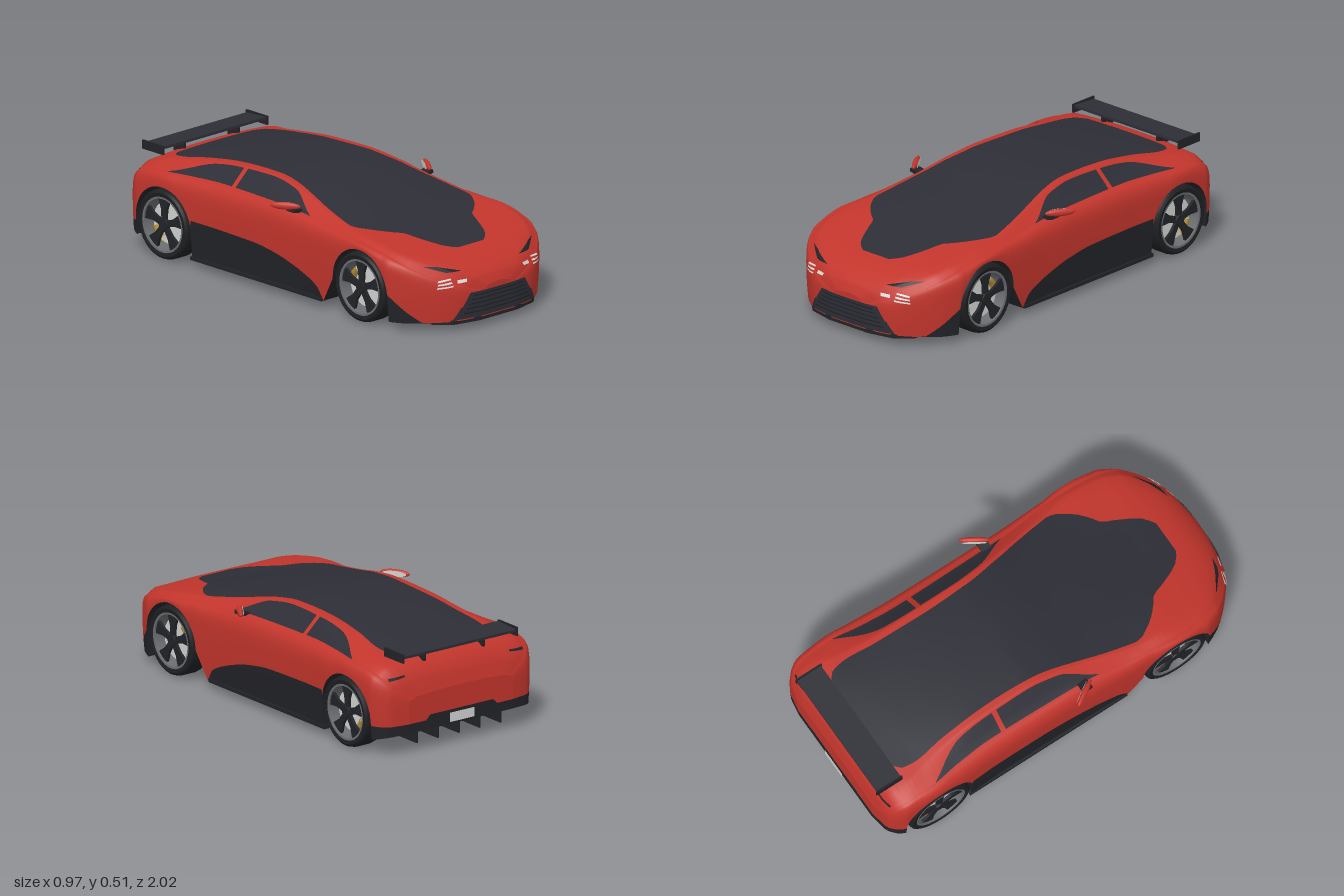
import * as THREE from 'three';
import { toCreasedNormals } from 'three/addons/utils/BufferGeometryUtils.js';

const paint = (name, color) => new THREE.MeshStandardMaterial({ name, color, side: THREE.DoubleSide });
const RED = paint('red paint', 0xc2352c), GLASS = paint('dark glass', 0x2d2e36), TRIM = paint('black trim', 0x222328);
const TYRE = paint('tyre rubber', 0x1e1f22), RIM = paint('rim grey', 0x6a6c70), STEEL = paint('brake steel', 0xd0d2d0);
const GOLD = paint('caliper gold', 0xb08a30), LAMP = paint('lamp white', 0xdedede);

// Smooth curve through [z, value] keys without overshoot
function curve(...k) {
  const d = k.slice(1).map((p, i) => (p[1] - k[i][1]) / (p[0] - k[i][0]));
  const m = k.map((_, i) => {
    if (i === 0 || i === d.length) return d[Math.min(i, d.length - 1)];
    return d[i - 1] * d[i] <= 0 ? 0 : 2 * d[i - 1] * d[i] / (d[i - 1] + d[i]);
  });
  return z => {
    let i = 0;
    while (i < d.length - 1 && z > k[i + 1][0]) i++;
    const h = k[i + 1][0] - k[i][0], t = THREE.MathUtils.clamp((z - k[i][0]) / h, 0, 1), u = 1 - t;
    return k[i][1] * (1 + 2 * t) * u * u + m[i] * h * t * u * u + k[i + 1][1] * t * t * (3 - 2 * t) - m[i + 1] * h * t * t * u;
  };
}

// Feature lines running along the car
const topY = curve([-1, .28], [-.97, .375], [-.93, .42], [-.85, .44], [-.7, .472], [-.5, .498], [-.3, .511], [-.15, .514], [0, .502],
  [.2, .465], [.4, .425], [.5, .4], [.65, .367], [.8, .335], [.9, .303], [.97, .255], [.985, .235], [1, .2]);
const railX = curve([-1, .25], [-.97, .34], [-.93, .36], [-.85, .36], [-.75, .335], [-.6, .31], [-.4, .298], [-.15, .297], [0, .31],
  [.15, .335], [.3, .365], [.42, .385], [.55, .4], [.7, .39], [.8, .36], [.9, .27], [.97, .17], [1, .07]);
const railY = curve([-1, .27], [-.97, .36], [-.93, .405], [-.85, .428], [-.75, .445], [-.6, .472], [-.4, .497], [-.15, .504], [0, .487],
  [.15, .453], [.3, .42], [.42, .399], [.55, .39], [.7, .365], [.8, .34], [.9, .295], [.97, .245], [1, .19]);
const beltX = curve([-1, .28], [-.97, .385], [-.93, .41], [-.85, .42], [-.75, .42], [-.6, .4], [-.4, .385], [0, .39], [.15, .395],
  [.3, .41], [.42, .425], [.55, .43], [.7, .425], [.8, .405], [.9, .33], [.97, .215], [1, .09]);
const beltY = curve([-1, .26], [-.97, .335], [-.93, .375], [-.85, .4], [-.75, .41], [-.6, .415], [-.4, .42], [0, .415], [.15, .405],
  [.3, .388], [.42, .38], [.55, .372], [.7, .347], [.8, .315], [.9, .26], [.97, .215], [1, .17]);
const sideX = curve([-1, .3], [-.985, .385], [-.96, .425], [-.9, .455], [-.75, .462], [-.6, .457], [-.4, .447], [-.1, .445], [.15, .447],
  [.35, .455], [.55, .462], [.72, .462], [.8, .432], [.85, .398], [.92, .325], [.97, .25], [.985, .2], [1, .1]);
const sideY = curve([-1, .23], [-.9, .3], [-.75, .33], [-.4, .32], [.15, .31], [.55, .3], [.72, .28], [.8, .25], [.9, .2], [1, .14]);
const canopyX = curve([-1, .22], [-.86, .24], [-.83, .28], [-.75, .293], [-.6, .275], [-.3, .262], [-.1, .27], [.1, .305], [.3, .35],
  [.38, .365], [.43, .36], [.48, .335], [.53, .298], [.575, .25], [.605, .212], [.66, .19], [.79, .12], [.815, .08], [1, .08]);
const windowTop = curve([-.74, 0], [-.52, .85], [-.2, .92], [0, .88], [.18, 0]);
const floorY = curve([-1, .1], [-.92, .08], [-.75, .04], [.75, .04], [1, .05]);
const skirtY = curve([-.55, .225], [-.15, .215], [0, .195], [.1, .17], [.2, .135], [.27, .1], [.31, .04]);

const WHEELS = [.563, -.73], HUB = .165, ARCH = .18;
function lowerEdge(z) {
  for (const c of WHEELS) if (Math.abs(z - c) <= ARCH + 1e-6) return HUB + Math.sqrt(Math.max(0, ARCH ** 2 - (z - c) ** 2));
  if (z > .31 && z < .383) return .04 + .125 * (z - .31) / .073;
  return floorY(z);
}
function trimEdge(z) {
  const low = lowerEdge(z);
  if (z < -.91) return .145;
  if (z > .743) return Math.max(low, .17 - .12 * (z - .743) / .13);
  return z > -.5505 && z < .31 ? Math.max(low, skirtY(z)) : low;
}

// Half section from the sill up to the centre line, in strips of fixed meaning
const STRIPS = [['skirt', 2], ['door', 5], ['shoulder', 6], ['window', 2], ['pillar', 2], ['roofSide', 3], ['canopy', 6]];
function halfSection(z) {
  const low = lowerEdge(z), trim = trimEdge(z), sx = sideX(z), sy = Math.max(sideY(z), low + .006, trim + .006);
  const bx = beltX(z), by = Math.max(beltY(z), sy + .004), rx = railX(z), ry = railY(z), f = windowTop(z);
  const cx = Math.min(canopyX(z), rx * .95), ty = topY(z), mix = THREE.MathUtils.lerp;
  const side = y => [sx - .014 * ((sy - y) / (sy - .03)) ** 2, y];
  const top = x => [x, ty + (ry - ty) * (x / rx) ** 2.2];
  const at = {
    skirt: t => side(mix(low, trim, t)),
    door: t => side(mix(trim, sy, t)),
    shoulder: t => [mix(bx, sx, Math.max(0, Math.cos(t * Math.PI / 2)) ** .85), mix(sy, by, Math.sin(t * Math.PI / 2) ** .85)],
    window: t => [mix(bx, rx, f * t), mix(by, ry, f * t)],
    pillar: t => [mix(bx, rx, mix(f, 1, t)), mix(by, ry, mix(f, 1, t))],
    roofSide: t => top(mix(rx, cx, t)),
    canopy: t => top(mix(cx, 0, t)),
  };
  const pts = [at.skirt(0)];
  for (const [name, n] of STRIPS) for (let i = 1; i <= n; i++) pts.push(at[name](i / n));
  return pts;
}

// Surface through rows of points, one group per material
function grid(rows, mats, pick, flip = false) {
  const n = rows[0].length, lists = mats.map(() => []);
  for (let i = 0; i < rows.length - 1; i++) for (let j = 0; j < n - 1; j++) {
    const a = i * n + j, b = a + 1, c = a + n, d = c + 1;
    lists[pick(i, j)].push(...(flip ? [a, c, b, b, c, d] : [a, b, c, b, d, c]));
  }
  const g = new THREE.BufferGeometry();
  g.setAttribute('position', new THREE.Float32BufferAttribute(rows.flat(2), 3));
  g.setIndex(lists.flat());
  let start = 0;
  lists.forEach((l, m) => { g.addGroup(start, l.length, m); start += l.length; });
  g.computeVertexNormals();
  return g;
}

export function createModel() {
  const car = new THREE.Group();
  car.name = 'sportsCar';
  const add = (name, geo, mat, parent = car, x = 0, y = 0, z = 0) => {
    const m = new THREE.Mesh(geo, mat);
    m.name = name;
    m.position.set(x, y, z);
    parent.add(m);
    return m;
  };
  const box = (name, w, h, d, mat, x, y, z) => add(name, new THREE.BoxGeometry(w, h, d), mat, car, x, y, z);

  // Stations along the car, denser round the wheel arches and ends
  let zs = [-.995, -.985, -.86, .815, .985, .995, .31, .383];
  for (let i = 0; i <= 80; i++) zs.push(-1 + i * .025);
  for (const c of WHEELS) {
    for (let k = 0; k <= 18; k++) zs.push(c + ARCH * Math.cos(k * Math.PI / 18));
    zs.push(c - ARCH - .0005, c + ARCH + .0005);
  }
  zs = zs.sort((a, b) => a - b).filter((z, i, s) => i === 0 || z - s[i - 1] > 1e-4);

  // Body shell
  const halves = zs.map(halfSection);
  const rows = halves.map((h, i) => [...h.map(p => [p[0], p[1], zs[i]]), ...h.slice(0, -1).reverse().map(p => [-p[0], p[1], zs[i]])]);
  const names = STRIPS.flatMap(([s, n]) => Array(n).fill(s)), half = names.length;
  const strip = j => names[j < half ? j : 2 * half - 1 - j];
  const mats = [RED, GLASS, TRIM];
  const body = add('bodyShell', grid(rows, mats, (i, j) => {
    const z = (zs[i] + zs[i + 1]) / 2, s = strip(j);
    if (s === 'skirt') return 2;
    if (s === 'canopy') return z > -.86 && z < .815 ? 1 : 0;
    return s === 'window' && z > -.74 && z < .18 && !(z > -.36 && z < -.33) ? 1 : 0;
  }), mats);

  // Closed nose and tail faces
  const cap = (name, row, flip) => add(name, grid([row.slice(0, half + 1), row.slice(half).reverse()],
    mats, (i, j) => strip(j) === 'skirt' ? 2 : 0, flip), mats);
  const skin = [body, cap('nosePanel', rows.at(-1), true), cap('tailPanel', rows[0], false)];

  // Floor with wheel wells
  const floorRows = zs.map((z, i) => {
    const [x, y] = halves[i][0], inner = Math.min(.33, x * .9), f = floorY(z);
    return [[x, y, z], [inner, y, z], [inner, f, z], [-inner, f, z], [-inner, y, z], [-x, y, z]];
  });
  add('underbody', toCreasedNormals(grid(floorRows, [TRIM], () => 0, true), .5), TRIM);

  // Thin plates laid on the nose (dir 1) or tail (dir -1), corners given as x, y
  const ray = new THREE.Raycaster();
  function decal(name, corners, mat, dir = 1, lift = .004) {
    const [a, b, c, d] = corners.map(p => new THREE.Vector2(...p));
    let last = .95 * dir;
    const r = [];
    for (let v = 0; v <= 4; v++) {
      r.push([]);
      for (let u = 0; u <= 14; u++) {
        const p = a.clone().lerp(b, u / 14).lerp(d.clone().lerp(c, u / 14), v / 4);
        ray.set(new THREE.Vector3(p.x, p.y, 2 * dir), new THREE.Vector3(0, 0, -dir));
        const hit = ray.intersectObjects(skin, false)[0];
        if (hit) last = hit.point.z;
        r[v].push([p.x, p.y, last + lift * dir]);
      }
    }
    add(name, grid(r, [mat], () => 0, dir > 0), mat);
  }
  decal('grille', [[-.25, .056], [.25, .056], [.17, .175], [-.17, .175]], GLASS);
  for (const y of [.08, .1, .12, .14, .158]) {
    const w = .22 - (y - .062) * .7;
    decal('grilleSlat', [[-w, y], [w, y], [w, y + .005], [-w, y + .005]], TYRE, 1, .008);
  }
  decal('tailTrim', [[-.22, .13], [.22, .13], [.18, .17], [-.18, .17]], TRIM, -1);
  decal('rearPlate', [[-.07, .112], [.07, .112], [.07, .157], [-.07, .157]], STEEL, -1, .009);
  for (const s of [1, -1]) {
    const quad = (name, pts, mat, dir) => decal(name, pts.map(([x, y]) => [x * s, y]), mat, dir);
    quad('headlightSlit', [[.18, .273], [.26, .274], [.345, .306], [.29, .301]], TRIM);
    quad('grilleCorner', [[.19, .056], [.255, .056], [.22, .112], [.19, .112]], GLASS);
    quad('innerLamp', [[.18, .226], [.225, .224], [.222, .239], [.175, .24]], LAMP);
    for (let i = 0; i < 3; i++) {
      const y = .205 + i * .015, x = .32 - i * .003;
      quad('lampBar', [[.25, y + .006], [x, y], [x - .004, y + .008], [.25, y + .013]].map(([px, py]) => [px, py + .002]), LAMP);
    }
    quad('tailLightSlit', [[.3, .365], [.385, .355], [.385, .368], [.3, .373]], TRIM, -1);

    // Door mirror, swept back
    const mirror = new THREE.Group();
    mirror.name = 'doorMirror';
    mirror.position.set(s * .446, .437, .065);
    mirror.rotation.y = s * 1.0;
    car.add(mirror);
    add('mirrorShell', new THREE.SphereGeometry(1, 20, 12), RED, mirror).scale.set(.072, .018, .014);
    const face = add('mirrorGlass', new THREE.CircleGeometry(1, 20), STEEL, mirror, 0, 0, -.0145);
    face.scale.set(.058, .014, 1);
    face.rotation.y = Math.PI;
    box('mirrorArm', .065, .016, .05, TRIM, s * .405, .413, .09).rotation.z = s * .2;

    // Sill blade, wing supports and end plates
    box('sillBlade', .03, .016, .86, TRIM, s * .43, .043, -.13);
    box('wingSupport', .012, .05, .07, TRIM, s * .17, .435, -.915);
    box('wingEndPlate', .008, .042, .14, TRIM, s * .326, .461, -.925);
  }
  box('rearWing', .65, .012, .13, GLASS, 0, .468, -.925).rotation.x = -.06;
  for (let i = -2; i <= 2; i++) box('diffuserFin', .008, .085, .13, TRIM, i * .12, .083, -.92);

  // Front splitter
  const lip = new THREE.Shape([[-.32, .8], [.32, .8], [.32, .9], [.25, .968], [.12, .998], [-.12, .998], [-.25, .968], [-.32, .9]]
    .map(p => new THREE.Vector2(...p)));
  add('frontSplitter', new THREE.ExtrudeGeometry(lip, { depth: .02, bevelEnabled: false }).rotateX(Math.PI / 2), TRIM, car, 0, .054, 0);

  // Wheels, built with the outer face towards +x
  const lathe = pts => toCreasedNormals(new THREE.LatheGeometry(pts.map(p => new THREE.Vector2(...p)), 40).rotateZ(-Math.PI / 2), .6);
  const tyre = lathe([[.128, -.05], [.15, -.055], [.161, -.047], [.165, -.03], [.165, .03], [.161, .047], [.15, .055], [.13, .05], [.128, -.05]]);
  const rim = lathe([[.12, -.045], [.12, .035], [.122, .051], [.132, .052]]);
  const disc = new THREE.CylinderGeometry(.1, .1, .012, 36).rotateZ(Math.PI / 2);
  const back = new THREE.CylinderGeometry(.125, .125, .01, 36).rotateZ(Math.PI / 2);
  const hub = new THREE.CylinderGeometry(.026, .03, .02, 20).rotateZ(-Math.PI / 2);
  const spokeShape = new THREE.Shape([[-.014, .015], [.014, .015], [.017, .07], [.036, .122], [-.036, .122], [-.017, .07]]
    .map(p => new THREE.Vector2(...p)));
  const spoke = new THREE.ExtrudeGeometry(spokeShape, { depth: .014, bevelEnabled: false }).rotateY(Math.PI / 2);
  const caliper = new THREE.TorusGeometry(.085, .018, 8, 10, .9).rotateY(Math.PI / 2);
  for (const z of WHEELS) for (const s of [1, -1]) {
    const wheel = new THREE.Group();
    wheel.name = z > 0 ? 'frontWheel' : 'rearWheel';
    wheel.position.set(s * .405, HUB, z);
    wheel.rotation.y = s > 0 ? 0 : Math.PI;
    car.add(wheel);
    add('tyre', tyre, TYRE, wheel);
    add('rim', rim, RIM, wheel);
    add('wheelBack', back, TYRE, wheel, -.03);
    add('brakeDisc', disc, STEEL, wheel, .005);
    add('hub', hub, TRIM, wheel, .04);
    const turn = z > 0 ? .1 : -1.2;
    add('caliper', caliper, GOLD, wheel, .01).rotation.x = s > 0 ? turn : Math.PI - .9 - turn;
    for (let k = 0; k < 5; k++) add('spoke', spoke, TRIM, wheel, .03).rotation.x = k * Math.PI * .4;
  }
  return car;
}
